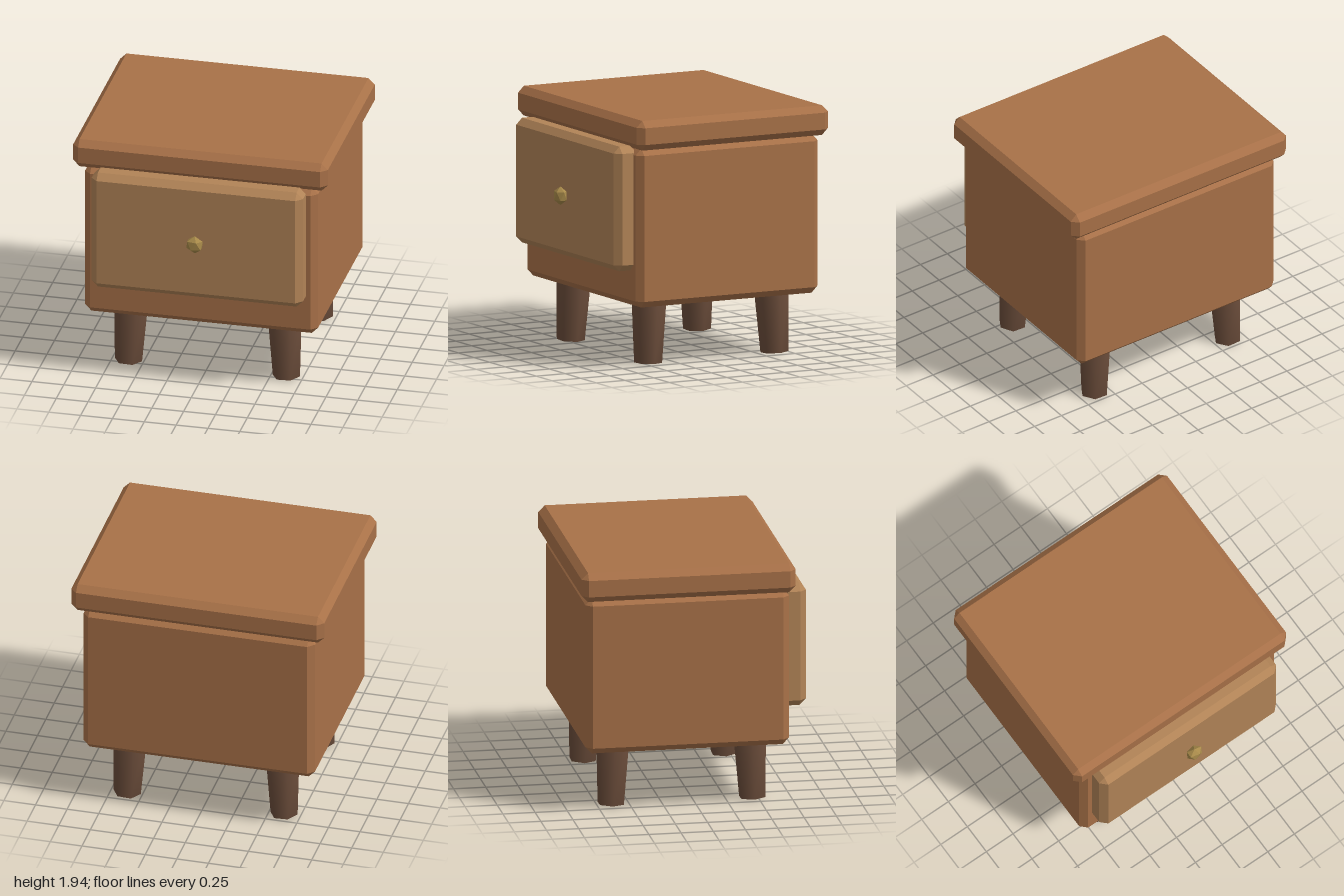
import * as THREE from 'three';
import { ConvexGeometry } from 'three/addons/geometries/ConvexGeometry.js';
import { mergeVertices } from 'three/addons/utils/BufferGeometryUtils.js';

const SIGNS = [-1, 1];

function part(name, geometry, color) {
  const mesh = new THREE.Mesh(geometry, new THREE.MeshStandardMaterial({ color }));
  mesh.name = name;
  return mesh;
}

// Box between two corners with every edge chamfered by b
function chamferedBox(min, max, b) {
  const size = new THREE.Vector3(...max).sub(new THREE.Vector3(...min)).multiplyScalar(0.5);
  const centre = new THREE.Vector3(...max).add(new THREE.Vector3(...min)).multiplyScalar(0.5);
  const points = [];
  for (const sx of SIGNS) for (const sy of SIGNS) for (const sz of SIGNS) {
    for (let axis = 0; axis < 3; axis++) {
      const p = size.clone().subScalar(b);
      p.setComponent(axis, size.getComponent(axis));
      points.push(p.multiply(new THREE.Vector3(sx, sy, sz)).add(centre));
    }
  }
  return new ConvexGeometry(points);
}

// Twenty-sided ball with its poles on y, flattened along z
function knobGeometry(r, depthScale) {
  const h = r / Math.sqrt(5);
  const points = [new THREE.Vector3(0, r, 0), new THREE.Vector3(0, -r, 0)];
  for (let i = 0; i < 5; i++) {
    const a = (i * Math.PI * 2) / 5;
    const x = 2 * h * Math.cos(a), z = 2 * h * Math.sin(a) * depthScale;
    points.push(new THREE.Vector3(x, h, z), new THREE.Vector3(-x, -h, z));
  }
  return new ConvexGeometry(points);
}

// Tapered six-sided leg, fully smoothed, corners pointing along x
function legGeometry(rTop, rBottom, height) {
  let g = new THREE.CylinderGeometry(rTop, rBottom, height, 6);
  g.rotateY(Math.PI / 2);
  g.translate(0, height / 2, 0);
  g.deleteAttribute('normal');
  g.deleteAttribute('uv');
  g = mergeVertices(g, 1e-4);
  g.computeVertexNormals();
  return g;
}

export function createModel() {
  const group = new THREE.Group();
  group.name = 'nightstand';
  const wood = 0xa87148;

  group.add(part('tabletop', chamferedBox([-1, 1.71, -0.925], [1, 1.94, 0.737], 0.05), wood));
  group.add(part('cabinet', chamferedBox([-0.915, 0.48, -0.88], [0.915, 1.71, 0.7], 0.05), wood));
  group.add(part('drawer', chamferedBox([-0.83, 0.76, 0.65], [0.83, 1.725, 0.845], 0.05), 0xb28457));

  const knob = part('drawerKnob', knobGeometry(0.072, 0.7), 0xa88a4a);
  knob.position.set(0, 1.24, 0.885);
  group.add(knob);

  // Four legs, splayed slightly outwards
  const leg = legGeometry(0.135, 0.107, 0.52);
  const tilt = 0.036;
  for (const sx of SIGNS) for (const sz of SIGNS) {
    const name = (sz > 0 ? 'front' : 'back') + (sx > 0 ? 'Left' : 'Right') + 'Leg';
    const mesh = part(name, leg, 0x6a4c3a);
    mesh.position.set(sx * 0.62, 0.004, sz > 0 ? 0.458 : -0.64);
    mesh.rotation.set(-sz * tilt, 0, sx * tilt);
    group.add(mesh);
  }
  return group;
}
